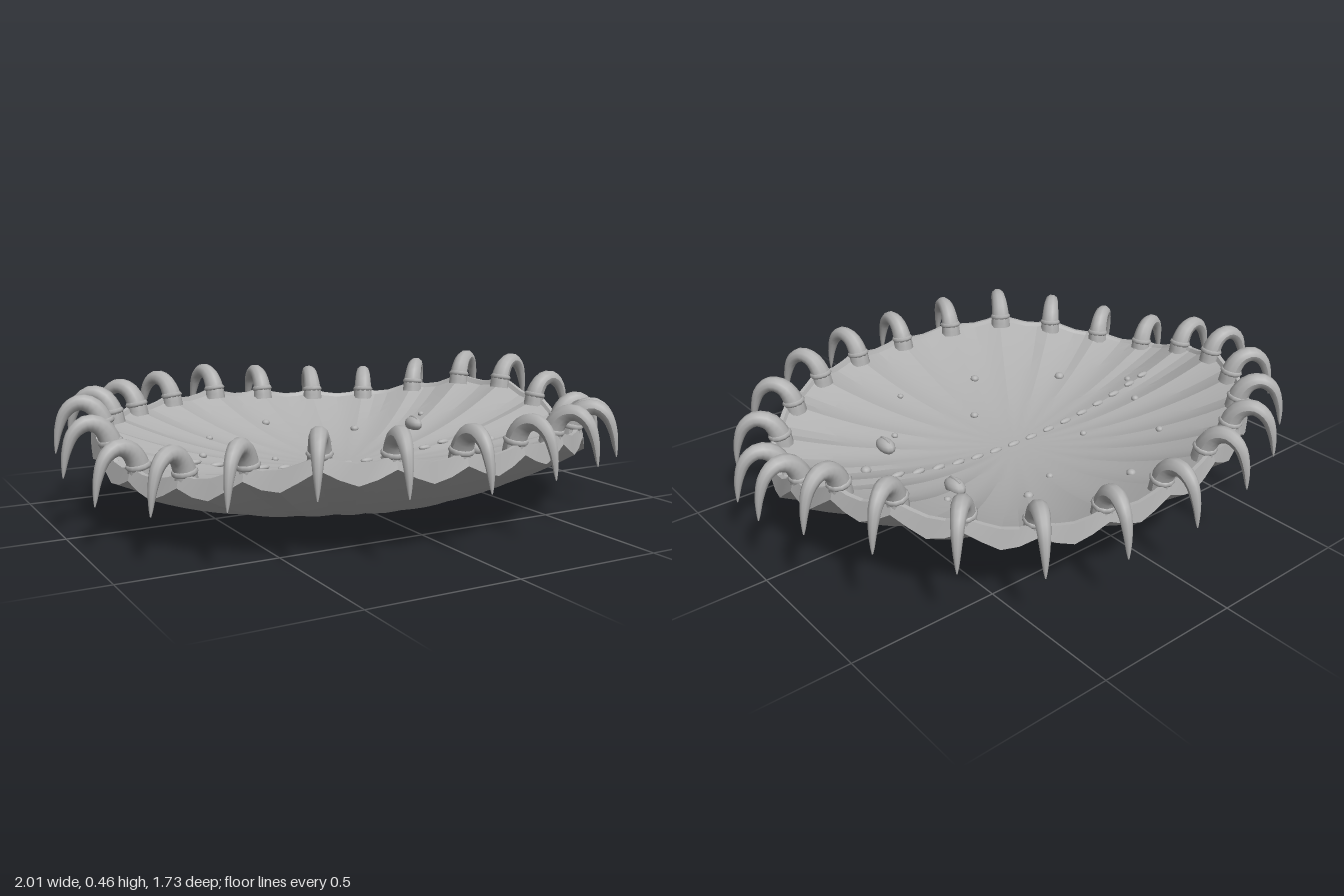
import * as THREE from 'three';
import { toCreasedNormals } from 'three/addons/utils/BufferGeometryUtils.js';

const RX = 0.885, RZ = 0.745, CLAWS = 24;
// rim height at each claw, starting at +x and turning towards +z
const RIM = [0.32, 0.265, 0.275, 0.30, 0.315, 0.315, 0.31, 0.32, 0.325, 0.29, 0.255, 0.25,
  0.295, 0.33, 0.33, 0.325, 0.33, 0.335, 0.315, 0.30, 0.295, 0.33, 0.37, 0.37];

// smooth wavy rim height with small dips between the claws
function rimHeight(angle) {
  const t = ((angle / (2 * Math.PI)) * CLAWS + CLAWS * 2) % CLAWS;
  const i = Math.floor(t), f = t - i;
  const s = f * f * (3 - 2 * f);
  return RIM[i % CLAWS] * (1 - s) + RIM[(i + 1) % CLAWS] * s - 0.022 * Math.sin(Math.PI * f);
}

// inside floor and pleated underside, by relative radius and angle
const FLOOR = 0.135;
const innerY = (r, a) => FLOOR + (rimHeight(a) - FLOOR) * Math.pow(r, 2.1);
const outerY = (r, a) => {
  const pleat = 0.012 * Math.cos(CLAWS * a) * Math.pow(r, 2);
  return (rimHeight(a) - 0.052 + pleat) * Math.pow(r, 2.3);
};

// closed dish: underside, flared collar, rim lip and inside
function dishGeometry() {
  const segs = 96, rings = 14, pos = [], idx = [];
  for (let i = 0; i <= segs; i++) {
    const a = (i % segs) / segs * 2 * Math.PI;
    const prof = [];
    for (let j = 0; j <= rings; j++) prof.push([j / rings, outerY(j / rings, a)]);
    prof.push([0.985, rimHeight(a)], [0.968, rimHeight(a)]);
    for (let j = rings; j >= 0; j--) {
      const r = 0.96 * j / rings;
      prof.push([r, innerY(r, a)]);
    }
    for (const [r, y] of prof) pos.push(RX * r * Math.cos(a), y, RZ * r * Math.sin(a));
  }
  const n = 2 * rings + 4;
  for (let i = 0; i < segs; i++) {
    for (let j = 0; j < n - 1; j++) {
      const p = i * n + j, q = p + n;
      idx.push(p, p + 1, q, p + 1, q + 1, q);
    }
  }
  const g = new THREE.BufferGeometry();
  g.setAttribute('position', new THREE.Float32BufferAttribute(pos, 3));
  g.setIndex(idx);
  return toCreasedNormals(g, 0.2);
}

// tapered hook that rises, bends outwards and ends in a downward point
function clawGeometry() {
  const path = new THREE.CatmullRomCurve3([
    [-0.045, -0.04], [-0.037, 0.01], [-0.008, 0.054], [0.035, 0.066],
    [0.076, 0.04], [0.102, -0.02], [0.115, -0.1],
  ].map(([x, y]) => new THREE.Vector3(x, y, 0)));
  const n = 18, sides = 10;
  const g = new THREE.TubeGeometry(path, n, 1, sides);
  const p = g.attributes.position, v = new THREE.Vector3();
  for (let i = 0; i <= n; i++) {
    const c = path.getPointAt(i / n);
    const radius = 0.002 + 0.037 * Math.pow(1 - i / n, 0.75);
    for (let j = 0; j <= sides; j++) {
      const k = i * (sides + 1) + j;
      v.fromBufferAttribute(p, k).sub(c).multiplyScalar(radius).add(c);
      p.setXYZ(k, v.x, v.y, v.z);
    }
  }
  g.computeVertexNormals();
  return g;
}

export function createModel() {
  const group = new THREE.Group();
  const grey = new THREE.MeshStandardMaterial({ color: 0xb0b0b0 });
  grey.name = 'grey';

  const add = (name, geometry, parent = group) => {
    const m = new THREE.Mesh(geometry, grey);
    m.name = name;
    parent.add(m);
    return m;
  };
  // place something on the inner floor of the dish
  const onFloor = (mesh, x, z, lift = 0) => {
    const r = Math.hypot(x / RX, z / RZ);
    mesh.position.set(x, innerY(r, Math.atan2(z / RZ, x / RX)) + lift, z);
  };

  add('dish', dishGeometry());

  // claws with a collar at each root
  const clawGeo = clawGeometry();
  const collarGeo = new THREE.TorusGeometry(0.031, 0.01, 6, 12).rotateX(Math.PI / 2);
  for (let i = 0; i < CLAWS; i++) {
    const a = i / CLAWS * 2 * Math.PI;
    const claw = new THREE.Group();
    claw.name = 'claw';
    claw.position.set(RX * Math.cos(a), RIM[i], RZ * Math.sin(a));
    claw.rotation.y = -a;
    add('clawHook', clawGeo, claw);
    const collar = add('clawCollar', collarGeo, claw);
    collar.position.set(-0.039, 0.002, 0);
    collar.rotation.z = -0.2;
    group.add(claw);
  }

  // row of beads along the middle
  const ball = new THREE.SphereGeometry(1, 12, 8);
  for (let i = 0; i < 15; i++) {
    const x = i === 0 ? -0.64 : -0.57 + (i - 1) * 0.0823;
    const bead = add('spineBead', ball);
    bead.scale.set(0.026, 0.01, 0.012);
    onFloor(bead, x, 0, 0.002);
  }

  // scattered warts: x, z, radius
  const warts = [
    [-0.08, -0.5, 0.016], [-0.38, -0.34, 0.013], [0.08, -0.28, 0.012], [0.24, -0.36, 0.016],
    [0.5, -0.28, 0.012], [-0.5, -0.1, 0.014], [-0.22, -0.12, 0.012], [-0.6, 0.04, 0.012],
    [-0.44, 0.26, 0.019], [0, 0.24, 0.015], [-0.14, 0.42, 0.016], [0.34, 0.26, 0.012],
    [0.18, 0.46, 0.011], [0.56, 0.1, 0.018],
  ];
  for (const [x, z, r] of warts) {
    const wart = add('wart', ball);
    wart.scale.set(r, r * 0.8, r);
    onFloor(wart, x, z, 0.003);
  }

  // pair of oval eyes with a raised slit
  for (const side of [-1, 1]) {
    const eye = new THREE.Group();
    eye.name = 'eye';
    onFloor(eye, 0.415, 0.203 * side, 0.012);
    add('eyeball', ball, eye).scale.set(0.028, 0.028, 0.046);
    const slit = add('eyeSlit', ball, eye);
    slit.scale.set(0.006, 0.012, 0.03);
    slit.position.y = 0.021;
    group.add(eye);
  }
  return group;
}
